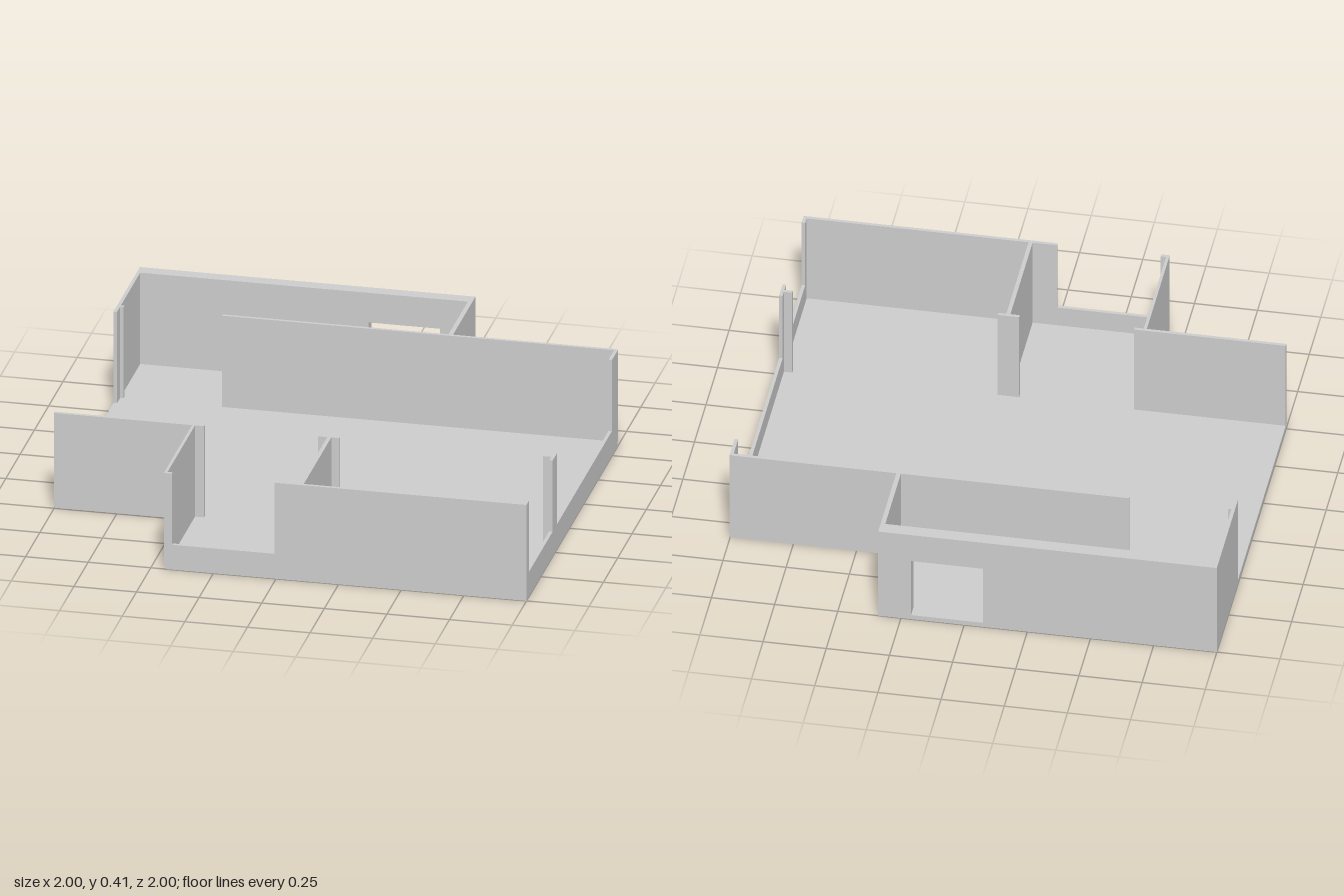
import * as THREE from 'three';

const FLOOR = 0.02;  // top of the floor slab
const SILL = 0.105;  // top of the low walls
const TOP = 0.405;   // top of the full walls
const T = 0.014;     // thin wall thickness

const material = new THREE.MeshStandardMaterial({ color: 0xcccccc, flatShading: true });

function extrude(points, depth) {
  const shape = new THREE.Shape(points.map(([x, y]) => new THREE.Vector2(x, y)));
  return new THREE.ExtrudeGeometry(shape, { depth, bevelEnabled: false });
}

export function createModel() {
  const group = new THREE.Group();

  function add(name, geometry) {
    const mesh = new THREE.Mesh(geometry, material);
    mesh.name = name;
    group.add(mesh);
  }

  // Plain full-height wall between two plan corners
  function wall(name, x0, x1, z0, z1) {
    const g = new THREE.BoxGeometry(x1 - x0, TOP - FLOOR, z1 - z0);
    add(name, g.translate((x0 + x1) / 2, (TOP + FLOOR) / 2, (z0 + z1) / 2));
  }

  // L-shaped stepped floor slab, drawn in plan as (x, -z)
  const plan = [
    [-1, -1], [0.34, -1], [0.34, -0.594], [1, -0.594],
    [1, 1], [-0.44, 1], [-0.44, 0.494], [-1, 0.494],
  ];
  add('floor', extrude(plan.map(([x, z]) => [x, -z]), FLOOR).rotateX(-Math.PI / 2));

  // Front wall with a wide opening above a sill, as (x, y)
  add('frontWall', extrude([
    [-0.448, FLOOR], [1, FLOOR], [1, TOP], [-0.005, TOP],
    [-0.005, SILL], [-0.415, SILL], [-0.415, TOP], [-0.448, TOP],
  ], T).translate(0, 0, 1 - T));

  // Right-hand wall with two openings and a post between them, as (z, y)
  add('sideWallWithOpenings', extrude([
    [-0.606, FLOOR], [1 - T, FLOOR], [1 - T, TOP], [0.955, TOP], [0.955, SILL],
    [0.54, SILL], [0.54, TOP], [0.465, TOP], [0.465, SILL],
    [-0.497, SILL], [-0.497, TOP], [-0.606, TOP],
  ], T).rotateY(-Math.PI / 2).translate(1, 0, 0));

  // Thick back wall with a doorway, as (x, y)
  add('backWall', extrude([
    [-1, FLOOR], [-0.075, FLOOR], [-0.075, 0.28], [0.21, 0.28],
    [0.21, FLOOR], [0.34, FLOOR], [0.34, TOP], [-1, TOP],
  ], 0.055).translate(0, 0, -1));

  // Remaining outer walls
  wall('backRoomOuterWall', -1, -1 + T, -0.945, -0.54);
  wall('backRoomInnerWall', 0.322, 0.34, -0.945, -0.608);
  wall('frontRoomOuterWall', -0.448, -0.436, 0.506, 1 - T);
  wall('frontStepWall', -1, -0.4, 0.492, 0.506);

  // Partitions
  wall('backPartition', -0.58, 1 - T, -0.608, -0.594);
  wall('frontPartition', 0.092, 0.108, 0.506, 1 - T);

  // Short door jambs projecting into the doorways
  wall('partitionJamb', 0.055, 0.14, 0.492, 0.506);
  wall('postJamb', 0.953, 1 - T, 0.492, 0.506);
  wall('backRoomJamb', -1 + T, -0.972, -0.608, -0.594);

  return group;
}
